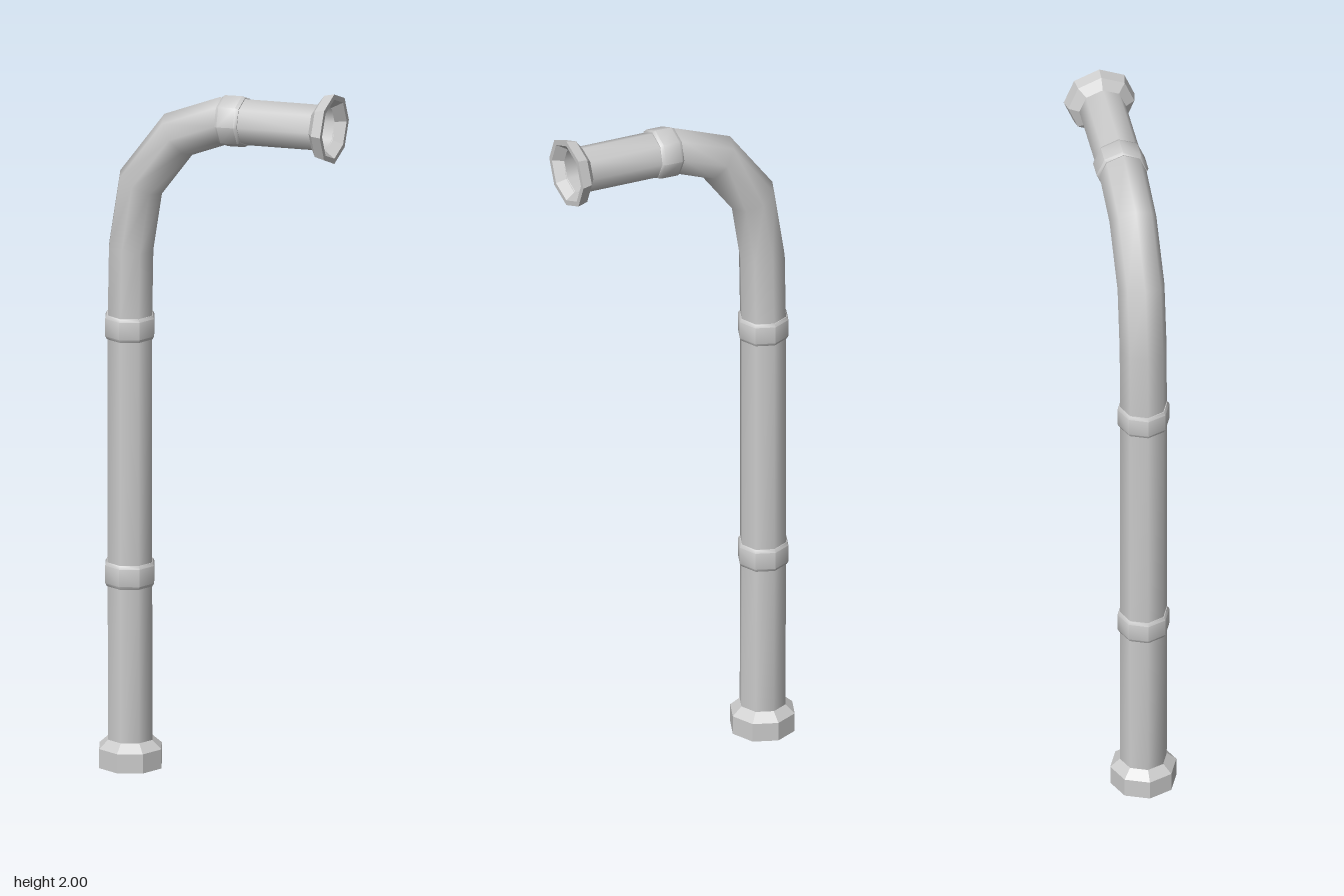
import * as THREE from 'three';
import { toCreasedNormals } from 'three/addons/utils/BufferGeometryUtils.js';

const SIDES = 8;
const PIPE_R = 0.066;
const grey = (opts = {}) => new THREE.MeshStandardMaterial({ color: 0xcccccc, ...opts });

// Eight-sided pipe swept along points in the xy plane, with mitred bends
function pipeGeometry(points, radius) {
  const path = points.map(([x, y]) => new THREE.Vector2(x, y));
  const positions = [], index = [];
  path.forEach((p, i) => {
    const before = p.clone().sub(path[Math.max(i - 1, 0)]).normalize();
    const after = path[Math.min(i + 1, path.length - 1)].clone().sub(p).normalize();
    const dir = before.clone().add(after).normalize();
    const miter = radius / Math.max(dir.dot(i ? before : after), 0.5);
    for (let s = 0; s < SIDES; s++) {
      const a = (s / SIDES) * Math.PI * 2;
      const out = Math.cos(a) * miter;
      positions.push(p.x + dir.y * out, p.y - dir.x * out, Math.sin(a) * radius);
      if (i > 0) {
        const t = (s + 1) % SIDES, lo = (i - 1) * SIDES, hi = i * SIDES;
        index.push(lo + s, hi + s, lo + t, lo + t, hi + s, hi + t);
      }
    }
  });
  const geo = new THREE.BufferGeometry();
  geo.setAttribute('position', new THREE.Float32BufferAttribute(positions, 3));
  geo.setIndex(index);
  geo.computeVertexNormals();
  return geo;
}

const lathe = (profile) =>
  new THREE.LatheGeometry(profile.map(([r, y]) => new THREE.Vector2(r, y)), SIDES);

export function createModel() {
  const model = new THREE.Group();
  model.name = 'bentPipe';

  const add = (name, geometry, material, x = 0, y = 0, tilt = 0) => {
    const mesh = new THREE.Mesh(geometry, material);
    mesh.name = name;
    mesh.position.set(x, y, 0);
    mesh.rotation.z = tilt;
    model.add(mesh);
  };

  // Pipe: upright shaft, bend and spout, open at the spout end
  const path = [[-0.262, 0.02], [-0.264, 0.555], [-0.264, 1.265], [-0.26, 1.49],
    [-0.23, 1.68], [-0.118, 1.83], [0.02, 1.886], [0.325, 1.9]];
  add('pipe', pipeGeometry(path, PIPE_R), grey({ side: THREE.DoubleSide }));

  // Joint collars with small chamfers
  const collar = toCreasedNormals(lathe([
    [0.06, -0.034], [0.068, -0.034], [0.073, -0.025],
    [0.073, 0.025], [0.068, 0.034], [0.06, 0.034],
  ]), 0.8);
  add('lowerCollar', collar, grey(), -0.264, 0.555);
  add('upperCollar', collar, grey(), -0.264, 1.265);
  add('spoutCollar', collar, grey(), 0.053, 1.888, -Math.PI / 2 + 0.06);

  // Closed foot
  add('baseFlange', lathe([[0, 0], [0.093, 0], [0.093, 0.055], [0.065, 0.08]]),
    grey({ flatShading: true }), -0.262, 0);

  // Flared mouth with a funnel inside
  add('spoutFlange', lathe([
    [0.065, 0], [0.093, 0.02], [0.1, 0.05], [0.085, 0.05], [0.065, 0.022],
  ]), grey({ flatShading: true }), 0.302, 1.9, -Math.PI / 2);

  return model;
}
